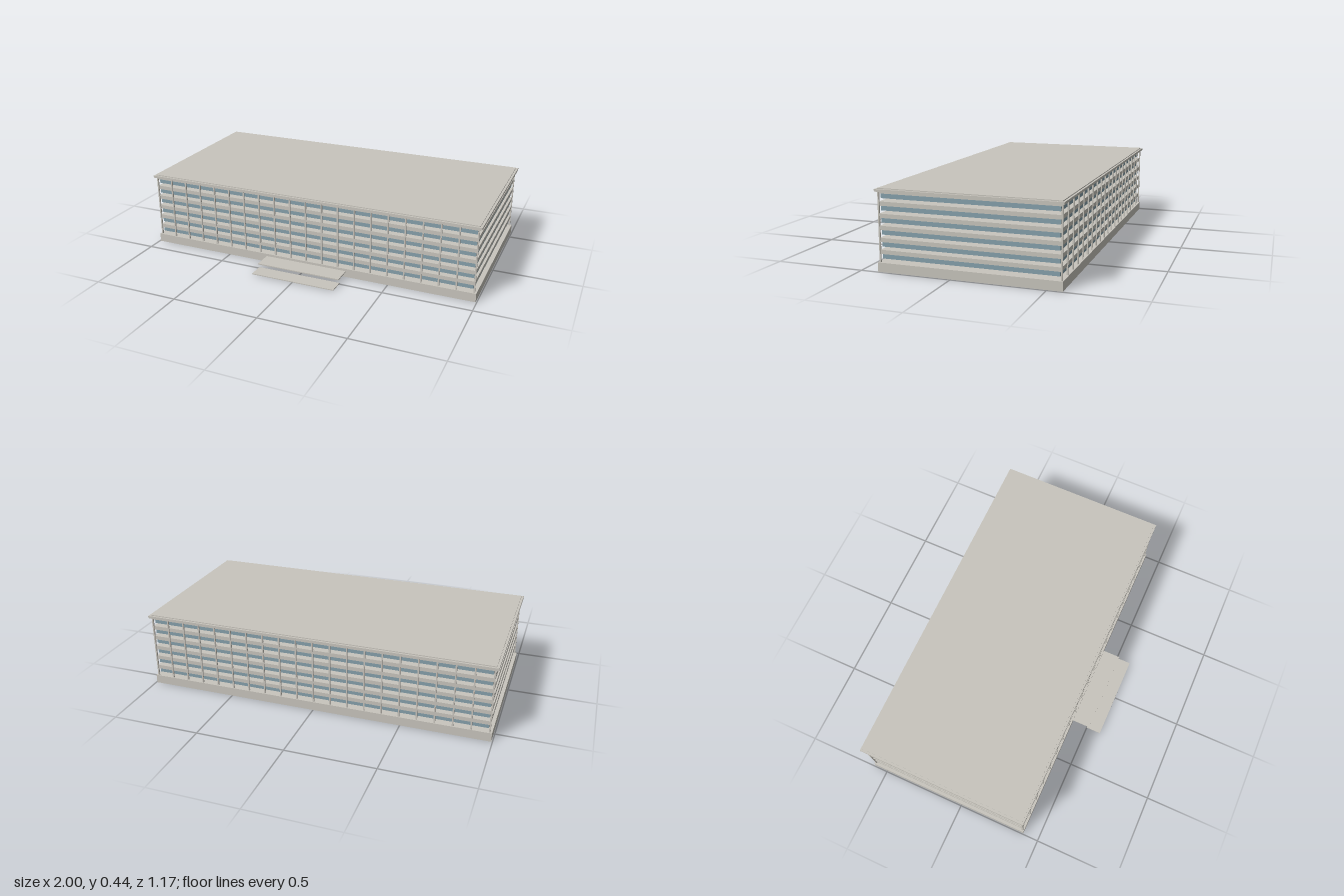
import * as THREE from 'three';

export function createModel() {
  const group = new THREE.Group();
  const concrete = new THREE.MeshStandardMaterial({ color: 0xc8c5bd });
  concrete.name = 'concrete';
  const glass = new THREE.MeshStandardMaterial({ color: 0x86a0ab });
  glass.name = 'blue glass';

  // Box from its minimum and maximum y and z, symmetrical in x
  function block(name, halfX, y0, y1, z0, z1, material = concrete, x = 0) {
    const mesh = new THREE.Mesh(new THREE.BoxGeometry(halfX * 2, y1 - y0, z1 - z0), material);
    mesh.position.set(x, (y0 + y1) / 2, (z0 + z1) / 2);
    mesh.name = name;
    group.add(mesh);
  }

  // Plinth and roof
  block('plinth', 0.994, 0, 0.05, -0.58, 0.406);
  block('roofSlab', 1, 0.42, 0.433, -0.585, 0.41);
  block('roofCap', 0.987, 0.433, 0.438, -0.574, 0.399);

  // Six storeys: floor slab with a glazed band hanging beneath, open gap below the glass
  const storey = 0.0632;
  for (let i = 0; i < 6; i++) {
    const under = 0.0926 + i * storey;
    const top = Math.min(under + 0.022, 0.42);
    block('floorSlab', 0.981, under, top, -0.57, 0.395);
    block('windowBand', 0.973, under - 0.0255, under, -0.56, 0.387, glass);
  }

  // Slender columns along the front and back
  const bays = 20;
  for (let i = 0; i <= bays; i++) {
    const x = -0.981 + (1.962 * i) / bays;
    block('frontColumn', 0.004, 0.05, 0.42, 0.392, 0.4, concrete, x);
    block('backColumn', 0.004, 0.05, 0.42, -0.575, -0.567, concrete, x);
  }

  // Floating entrance landing and step
  block('entranceLanding', 0.25, 0.03, 0.036, 0.4, 0.513);
  block('entranceStep', 0.25, 0.002, 0.007, 0.499, 0.587);

  return group;
}
